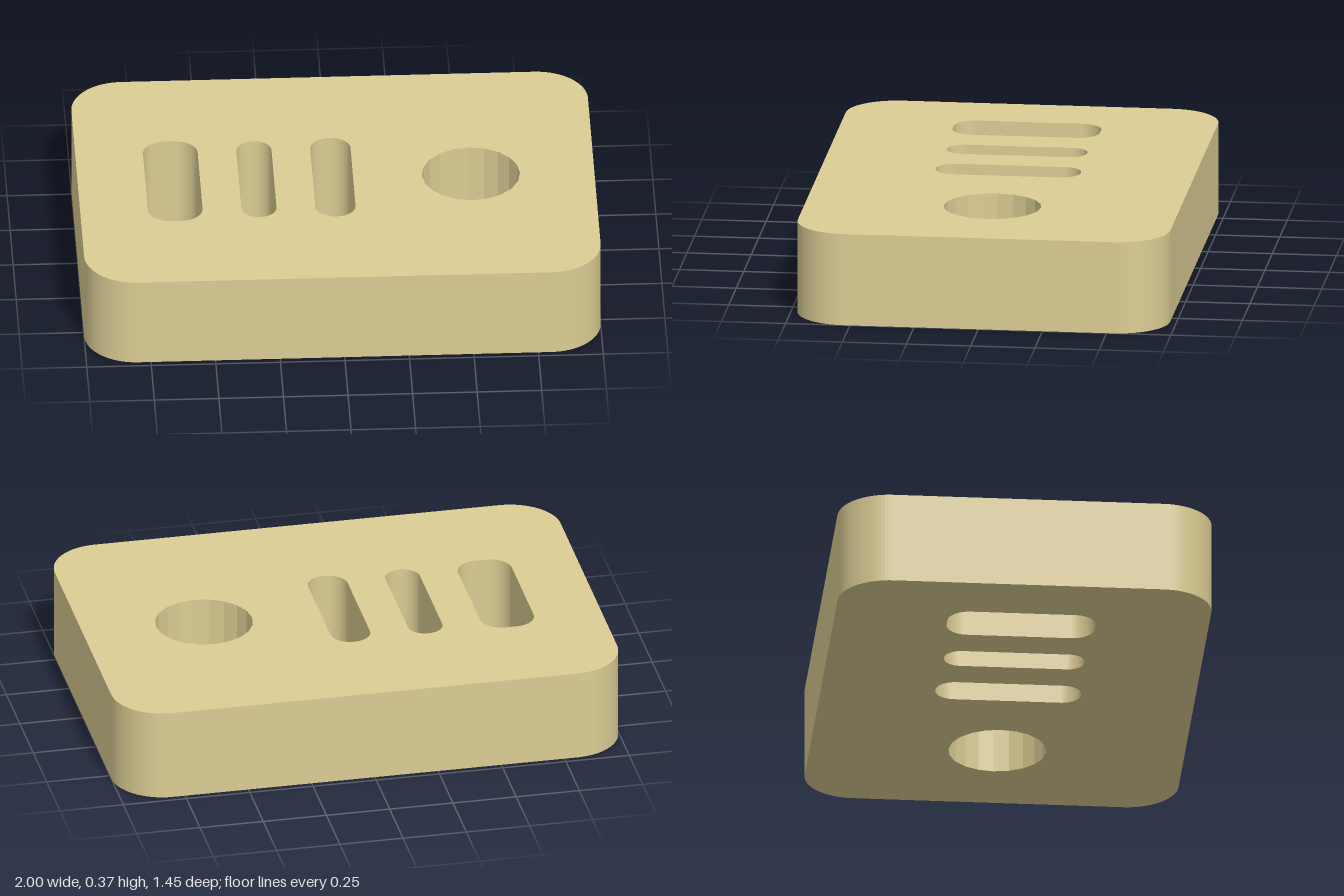
import * as THREE from 'three';

// Rounded rectangle outline, centred on (cx, cy)
function roundedRect(path, cx, cy, w, h, r) {
  const x = w / 2 - r, y = h / 2 - r, q = Math.PI / 2;
  path.moveTo(cx + x + r, cy - y);
  [[x, y], [-x, y], [-x, -y], [x, -y]].forEach(([dx, dy], i) => {
    path.absarc(cx + dx, cy + dy, r, i * q, (i + 1) * q, false);
  });
  path.closePath();
  return path;
}

export function createModel() {
  const group = new THREE.Group();
  group.name = 'slottedBlock';
  const height = 0.365;

  // Block outline
  const outline = roundedRect(new THREE.Shape(), 0, 0, 2, 1.45, 0.2);

  // Three through slots: centre x, width, length, corner radius
  const slots = [
    [-0.632, 0.212, 0.574, 0.085],
    [-0.308, 0.136, 0.546, 0.066],
    [-0.012, 0.156, 0.566, 0.076],
  ];
  for (const [x, w, l, r] of slots) {
    outline.holes.push(roundedRect(new THREE.Path(), x, 0, w, l, r));
  }

  // Round through hole
  outline.holes.push(new THREE.Path().absarc(0.522, 0, 0.19, 0, Math.PI * 2, true));

  // Solid block, laid flat
  const geometry = new THREE.ExtrudeGeometry(outline, {
    depth: height, bevelEnabled: false, curveSegments: 10,
  });
  geometry.rotateX(-Math.PI / 2);

  const material = new THREE.MeshStandardMaterial({ color: 0xdccd94, flatShading: true });
  const block = new THREE.Mesh(geometry, material);
  block.name = 'block';
  group.add(block);
  return group;
}
